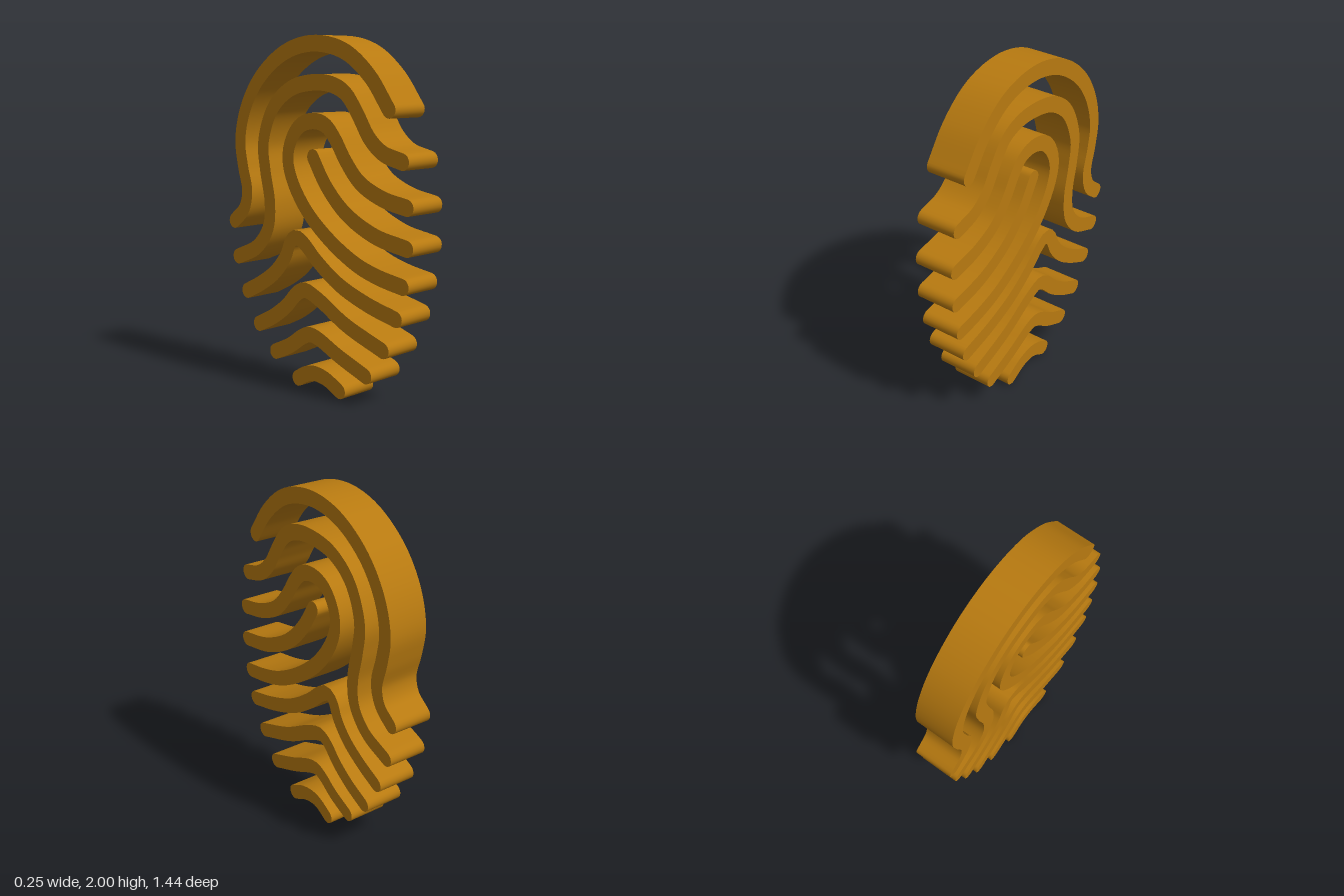
import * as THREE from 'three';
import { toCreasedNormals } from 'three/addons/utils/BufferGeometryUtils.js';

const RADIUS = 0.045; // half the thickness of a ridge
const WIDTH = 0.234;  // extent of every ridge along x

// Centre lines of the ridges as [u, y] pairs, where u runs towards the back (-z)
const ridges = {
  outerArch: [[-0.55, 1.61], [-0.415, 1.782], [-0.236, 1.91], [0, 1.956], [0.23, 1.908], [0.44, 1.765],
    [0.565, 1.585], [0.613, 1.4], [0.592, 1.25], [0.556, 1.1], [0.587, 0.992], [0.675, 0.914]],
  middleArch: [[-0.643, 1.348], [-0.51, 1.385], [-0.415, 1.46], [-0.34, 1.57], [-0.245, 1.688], [-0.14, 1.735],
    [0, 1.745], [0.18, 1.708], [0.326, 1.597], [0.41, 1.395], [0.395, 1.237], [0.358, 1.05],
    [0.374, 0.903], [0.47, 0.78], [0.643, 0.7]],
  innerLoop: [[-0.676, 1.115], [-0.51, 1.147], [-0.35, 1.22], [-0.245, 1.33], [-0.167, 1.443], [-0.098, 1.512],
    [-0.008, 1.535], [0.103, 1.507], [0.178, 1.42], [0.204, 1.317], [0.172, 1.2], [0.061, 1.04],
    [-0.114, 0.893], [-0.326, 0.776], [-0.485, 0.728], [-0.65, 0.7]],
  coreRidge: [[-0.677, 0.903], [-0.458, 0.945], [-0.246, 1.046], [-0.098, 1.184], [0.003, 1.335]],
  upperChevron: [[-0.606, 0.522], [-0.405, 0.57], [-0.193, 0.65], [-0.024, 0.76], [0.072, 0.842], [0.135, 0.872],
    [0.183, 0.845], [0.225, 0.755], [0.31, 0.654], [0.43, 0.57], [0.565, 0.5]],
  middleChevron: [[-0.517, 0.337], [-0.246, 0.432], [-0.034, 0.543], [0.072, 0.577], [0.135, 0.548],
    [0.22, 0.463], [0.336, 0.38], [0.463, 0.315]],
  lowerChevron: [[-0.395, 0.172], [-0.193, 0.246], [-0.034, 0.315], [0.03, 0.326], [0.087, 0.305],
    [0.188, 0.236], [0.32, 0.172]],
  bottomRidge: [[-0.2, 0.045], [-0.098, 0.093], [0, 0.106], [0.06, 0.09], [0.13, 0.05]],
};

// Outline of a constant-width stroke with round ends
function strokeShape(points) {
  const curve = new THREE.CatmullRomCurve3(points.map(([u, y]) => new THREE.Vector3(u, y, 0)), false, 'centripetal');
  const count = Math.max(16, Math.round(curve.getLength() / 0.03));
  const samples = curve.getSpacedPoints(count);
  const angles = samples.map((_, i) => {
    const t = curve.getTangentAt(i / count);
    return Math.atan2(t.y, t.x);
  });
  const outline = [];
  const add = (i, offset) => {
    const a = angles[i] + offset;
    outline.push(new THREE.Vector2(samples[i].x + RADIUS * Math.cos(a), samples[i].y + RADIUS * Math.sin(a)));
  };
  const capSteps = 10;
  for (let i = 0; i < count; i++) add(i, -Math.PI / 2);
  for (let k = 0; k <= capSteps; k++) add(count, -Math.PI / 2 + Math.PI * k / capSteps);
  for (let i = count - 1; i > 0; i--) add(i, Math.PI / 2);
  for (let k = 0; k < capSteps; k++) add(0, Math.PI / 2 + Math.PI * k / capSteps);
  return new THREE.Shape(outline);
}

export function createModel() {
  const model = new THREE.Group();
  model.name = 'fingerprint';
  const bronze = new THREE.MeshStandardMaterial({ color: 0xb87a10 });
  bronze.name = 'bronze';

  for (const [name, points] of Object.entries(ridges)) {
    const geometry = new THREE.ExtrudeGeometry(strokeShape(points), { depth: WIDTH, bevelEnabled: false });
    geometry.translate(0, 0, -WIDTH / 2);
    geometry.rotateY(Math.PI / 2 - 0.012); // the whole print is turned very slightly
    const mesh = new THREE.Mesh(toCreasedNormals(geometry, 0.6), bronze);
    mesh.name = name;
    model.add(mesh);
  }
  return model;
}
